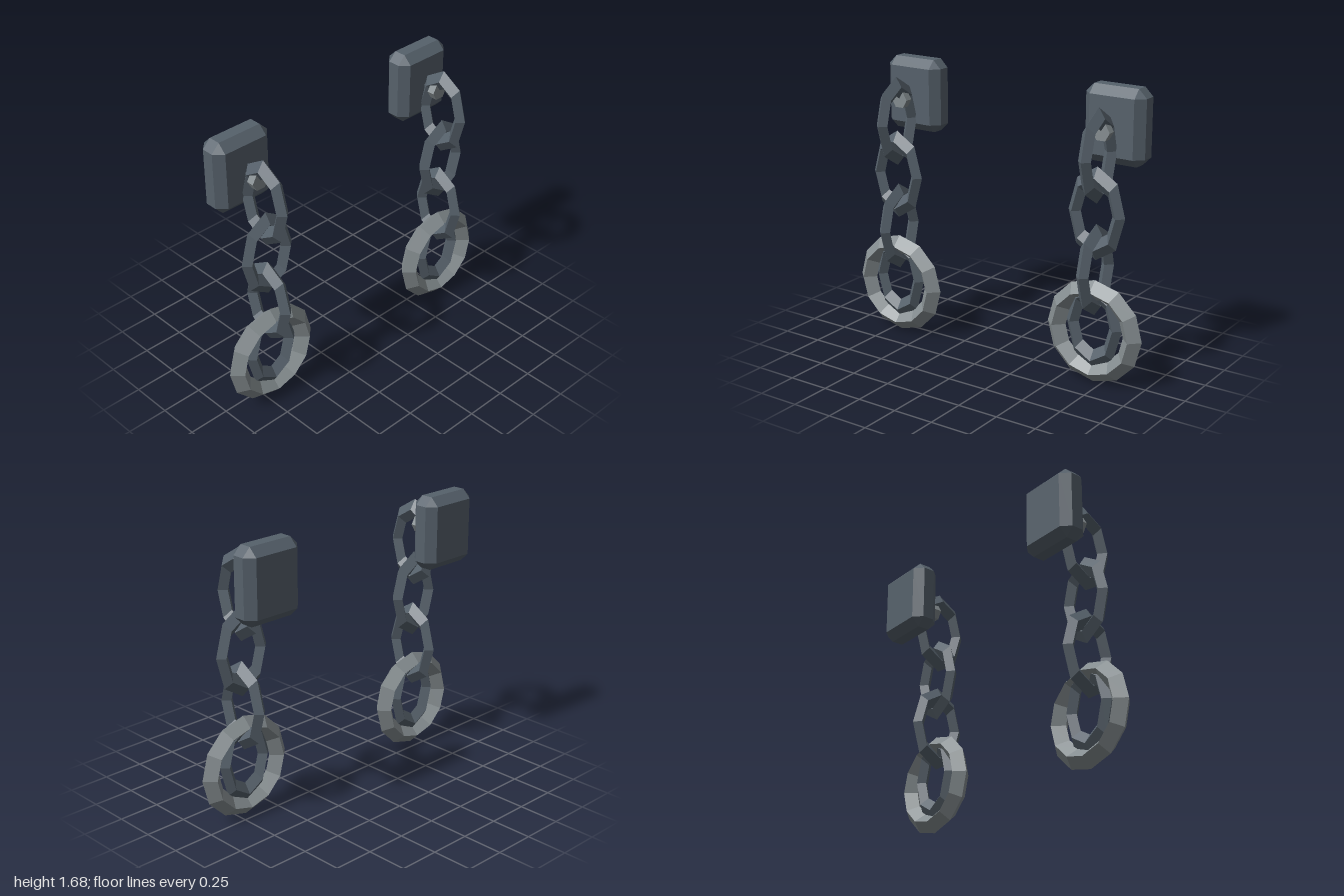
import * as THREE from 'three';
import { ConvexGeometry } from 'three/addons/geometries/ConvexGeometry.js';

const darkIron = new THREE.MeshStandardMaterial({ color: 0x56616b, flatShading: true });
const paleIron = new THREE.MeshStandardMaterial({ color: 0x858d90, flatShading: true });

function part(name, geometry, material, x, y, z) {
  const mesh = new THREE.Mesh(geometry, material);
  mesh.name = name;
  mesh.position.set(x, y, z);
  return mesh;
}

// Box with every edge cut by a flat bevel
function chamferedBox(hx, hy, hz, b) {
  const points = [];
  for (const x of [-1, 1]) for (const y of [-1, 1]) for (const z of [-1, 1]) {
    points.push(
      new THREE.Vector3(x * hx, y * (hy - b), z * (hz - b)),
      new THREE.Vector3(x * (hx - b), y * hy, z * (hz - b)),
      new THREE.Vector3(x * (hx - b), y * (hy - b), z * hz));
  }
  return new ConvexGeometry(points);
}

function createShackle() {
  const shackle = new THREE.Group();
  const chainZ = 0.06;

  // Wall plate
  shackle.add(part('wallPlate', chamferedBox(0.19, 0.22, 0.086, 0.05), darkIron, 0, 1.464, -0.16));

  // Hexagonal peg head and its thin shank, pointing forward from the plate
  const head = new THREE.CylinderGeometry(0.055, 0.055, 0.046, 6).rotateY(Math.PI / 2).rotateX(Math.PI / 2);
  shackle.add(part('pegHead', head, paleIron, 0, 1.457, 0.011));
  const shank = new THREE.CylinderGeometry(0.016, 0.016, 0.09, 6).rotateX(Math.PI / 2);
  shackle.add(part('pegShank', shank, darkIron, 0, 1.457, -0.045));

  // Chain of stretched links, each turned a quarter from the last
  const link = new THREE.TorusGeometry(0.14, 0.04, 4, 8).scale(1, 1.5, 1);
  for (let i = 0; i < 4; i++) {
    const mesh = part('chainLink' + (i + 1), link, darkIron, 0, 1.33 - i * 0.328, chainZ);
    if (i % 2 === 0) mesh.rotation.y = Math.PI / 2;
    shackle.add(mesh);
  }

  // Large ring at the end
  shackle.add(part('cuffRing', new THREE.TorusGeometry(0.247, 0.06, 4, 12), paleIron, 0, 0.307, chainZ));
  return shackle;
}

export function createModel() {
  const model = new THREE.Group();
  model.name = 'wallShackles';
  for (const side of [-1, 1]) {
    const shackle = createShackle();
    shackle.name = side > 0 ? 'leftShackle' : 'rightShackle';
    shackle.position.x = side * 0.693;
    model.add(shackle);
  }
  return model;
}
